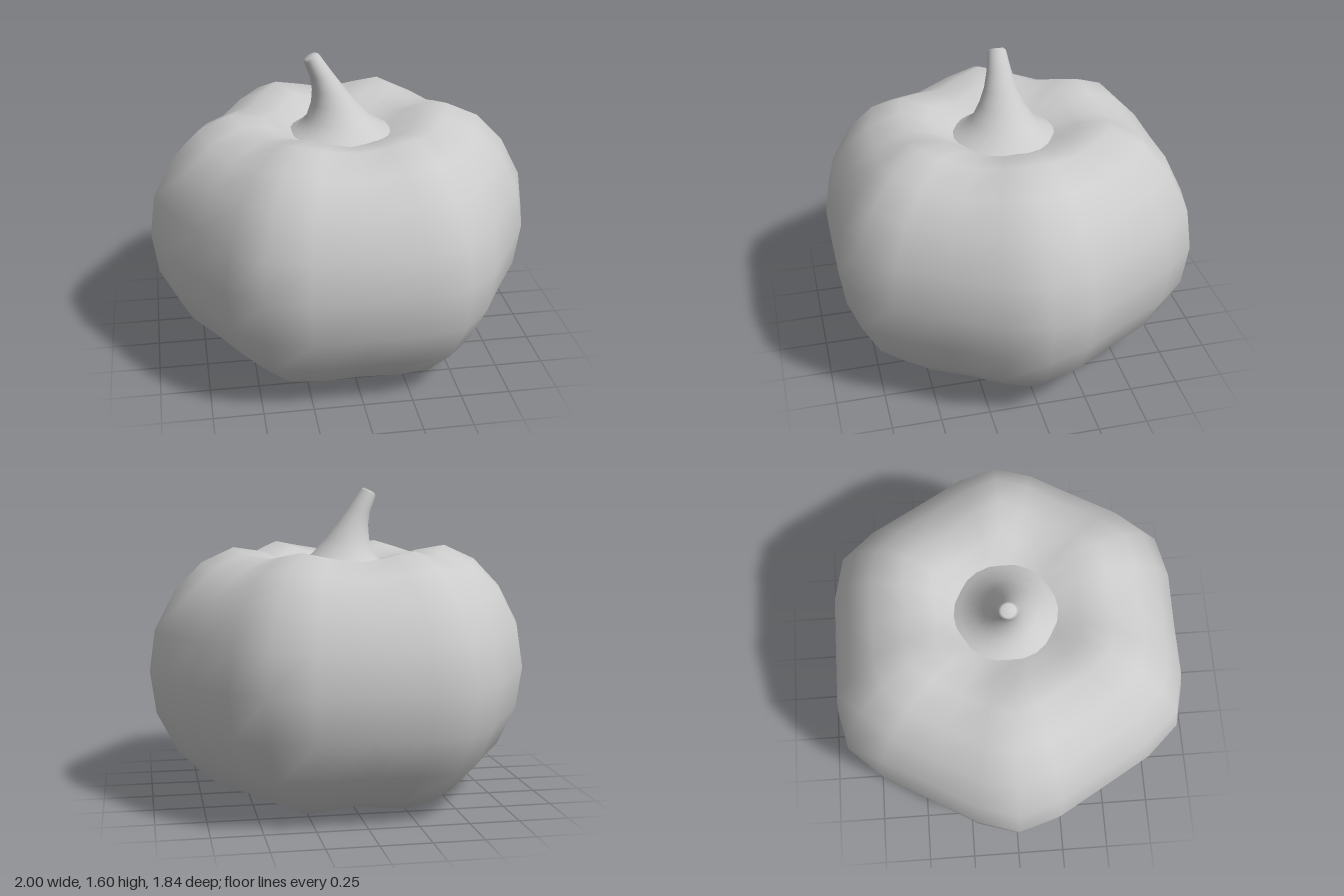
import * as THREE from 'three';

const SEGMENTS = 24;
const material = new THREE.MeshStandardMaterial({ color: 0xcccccc });

// Smooth skin over rings listed from bottom to top; rings are welded all round.
function loft(name, rings) {
  const points = rings.flat();
  const index = [];
  for (let i = 0; i < rings.length - 1; i++) {
    for (let j = 0; j < SEGMENTS; j++) {
      const a = i * SEGMENTS + j;
      const b = i * SEGMENTS + (j + 1) % SEGMENTS;
      const c = a + SEGMENTS;
      const d = b + SEGMENTS;
      index.push(a, c, b, b, c, d);
    }
  }
  const geometry = new THREE.BufferGeometry().setFromPoints(points);
  geometry.setIndex(index);
  geometry.computeVertexNormals();
  const mesh = new THREE.Mesh(geometry, material);
  mesh.name = name;
  return mesh;
}

function ring(pointAt) {
  return Array.from({ length: SEGMENTS }, (_, j) => pointAt((j / SEGMENTS) * Math.PI * 2));
}

// Six-lobed ring: radius and height run from the lobe crest to the groove.
function lobedRing([crestR, crestY, grooveR, grooveY]) {
  return ring((a) => {
    const groove = (1 - Math.cos(6 * a)) / 2;
    const r = THREE.MathUtils.lerp(crestR, grooveR, groove);
    const y = THREE.MathUtils.lerp(crestY, grooveY, groove);
    const angle = a - 0.033 * Math.sin(6 * a); // widens the grooves a little
    return new THREE.Vector3(r * Math.cos(angle), y, r * Math.sin(angle));
  });
}

// Tilted oval ring through a left and a right outline point.
function stemRing([x0, y0, x1, y1, depth]) {
  return ring((a) => {
    const t = (1 + Math.cos(a)) / 2;
    return new THREE.Vector3(
      THREE.MathUtils.lerp(x0, x1, t),
      THREE.MathUtils.lerp(y0, y1, t),
      depth * Math.sin(a),
    );
  });
}

export function createModel() {
  const model = new THREE.Group();
  model.name = 'pumpkin';

  // Body: crest radius, crest height, groove radius, groove height
  const body = [
    [0.001, 0.07, 0.001, 0.07],
    [0.27, 0.04, 0.25, 0.06],
    [0.53, 0.0, 0.46, 0.03],
    [0.71, 0.085, 0.655, 0.105],
    [0.865, 0.24, 0.8, 0.26],
    [0.97, 0.445, 0.885, 0.45],
    [1.0, 0.665, 0.918, 0.665],
    [0.97, 0.88, 0.885, 0.87],
    [0.865, 1.08, 0.8, 1.06],
    [0.725, 1.225, 0.67, 1.175],
    [0.56, 1.3, 0.5, 1.25],
    [0.4, 1.275, 0.35, 1.225],
    [0.28, 1.2, 0.25, 1.185],
    [0.15, 1.17, 0.15, 1.17],
    [0.001, 1.16, 0.001, 1.16],
  ];
  model.add(loft('body', body.map(lobedRing)));

  // Stem: left x, y, right x, y, half depth; flared at the foot, leaning to -x
  const stem = [
    [-0.3, 1.17, 0.3, 1.17, 0.3],
    [-0.23, 1.205, 0.23, 1.205, 0.23],
    [-0.175, 1.26, 0.15, 1.26, 0.16],
    [-0.15, 1.34, 0.08, 1.34, 0.115],
    [-0.145, 1.41, 0.025, 1.41, 0.085],
    [-0.155, 1.48, -0.045, 1.505, 0.062],
    [-0.185, 1.56, -0.107, 1.595, 0.047],
    [-0.178, 1.573, -0.12, 1.602, 0.034],
    [-0.149, 1.59, -0.148, 1.59, 0.001],
  ];
  model.add(loft('stem', stem.map(stemRing)));

  return model;
}
